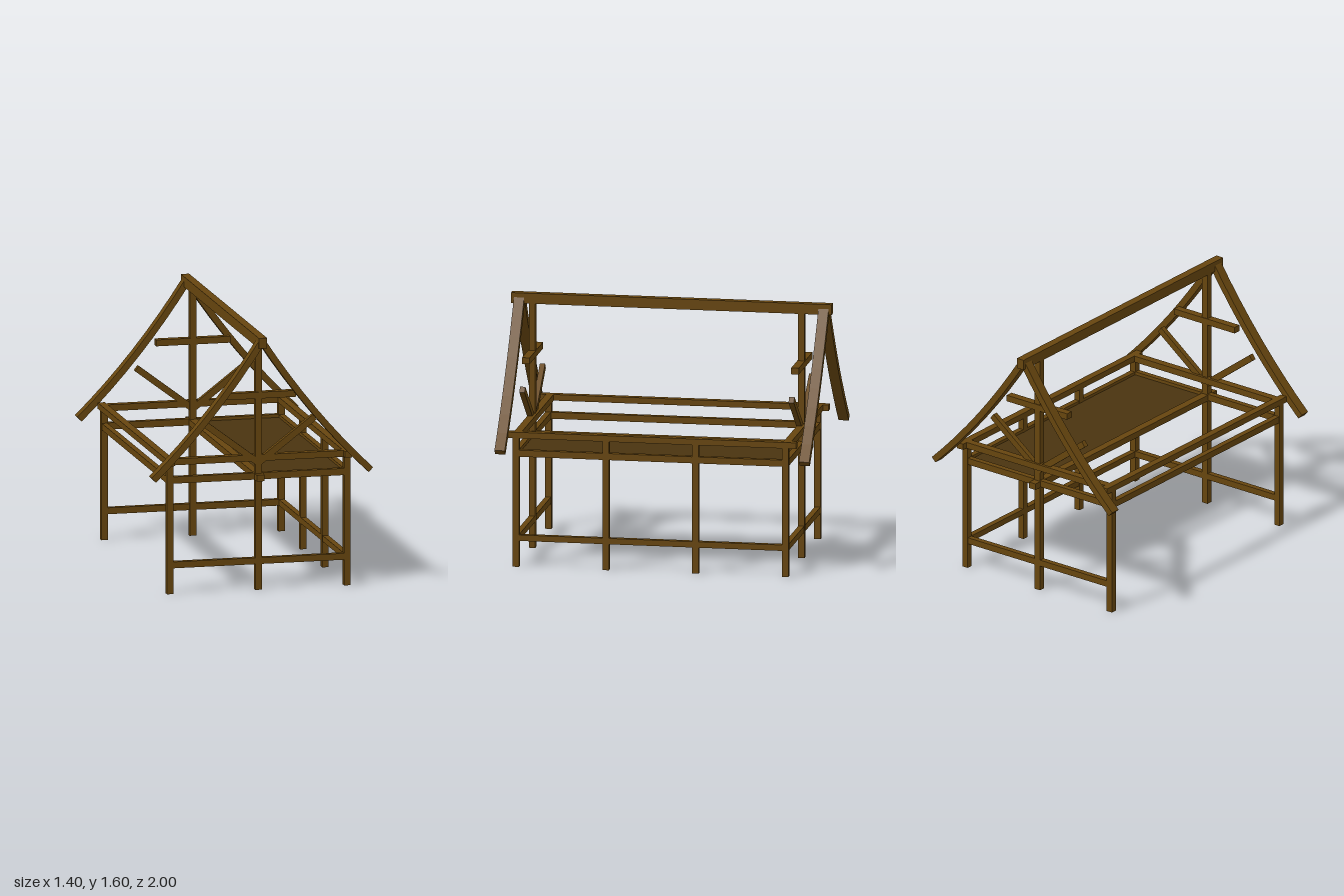
import * as THREE from 'three';

export function createModel() {
  const model = new THREE.Group();
  model.name = 'timberFrame';

  const timber = new THREE.MeshStandardMaterial({ color: 0x66450e });
  timber.name = 'timber brown';
  const boards = new THREE.MeshStandardMaterial({ color: 0x4a3410 });
  boards.name = 'dark floor brown';

  const FRONT = 0.87, BACK = -0.81, SIDE = 0.56;

  // Box given by its lower and upper bounds
  function beam(name, [x0, x1], [y0, y1], [z0, z1], material = timber) {
    const mesh = new THREE.Mesh(new THREE.BoxGeometry(x1 - x0, y1 - y0, z1 - z0), material);
    mesh.position.set((x0 + x1) / 2, (y0 + y1) / 2, (z0 + z1) / 2);
    mesh.name = name;
    model.add(mesh);
    return mesh;
  }
  const around = (c, width) => [c - width / 2, c + width / 2];

  // Posts: the open side has only its corner posts
  for (const z of [FRONT, BACK]) {
    beam('cornerPost', around(-SIDE, 0.04), [0, 0.81], around(z, 0.04));
    beam('kingPost', around(0, 0.042), [0, 1.54], around(z, 0.04));
  }
  for (const z of [FRONT, 0.31, -0.25, BACK]) {
    beam('sidePost', around(SIDE, 0.04), [0, 0.81], around(z, 0.04));
  }

  // Long beams
  beam('ridgeBeam', around(0, 0.052), [1.535, 1.6], [-1, 1]);
  beam('centreFloorBeam', around(0, 0.05), [0.69, 0.73], [-0.88, 0.94]);
  beam('lowSideRail', around(SIDE, 0.036), [0.163, 0.2], [BACK, FRONT]);
  for (const s of [-1, 1]) {
    beam('wallPlate', around(s * SIDE, 0.046), [0.808, 0.846], [-0.88, 0.92]);
    beam('sideFloorRail', around(s * SIDE, 0.036), [0.692, 0.733], [BACK, FRONT]);
  }

  // Floor over one half
  beam('floorPanel', [0.02, 0.545], [0.705, 0.715], [-0.79, 0.85], boards);

  // Gable frames
  for (const z of [FRONT - 0.01, BACK - 0.01]) {
    beam('gableTie', [-SIDE, SIDE], [0.806, 0.846], around(z, 0.048));
  }
  for (const z of [FRONT, BACK]) {
    beam('gableFloorRail', [-SIDE, SIDE], [0.692, 0.734], around(z, 0.036));
    beam('lowGableRail', [-SIDE, SIDE], [0.161, 0.201], around(z, 0.036));
    beam('collarTie', [-0.235, 0.235], [1.2, 1.24], around(z, 0.048));
    for (const s of [-1, 1]) {
      const dx = 0.355, dy = 0.27;
      const brace = new THREE.Mesh(new THREE.BoxGeometry(Math.hypot(dx, dy), 0.04, 0.033), timber);
      brace.position.set(s * dx / 2, 0.795 + dy / 2, z);
      brace.rotation.z = s * Math.atan2(dy, dx);
      brace.name = 'brace';
      model.add(brace);
    }
  }

  // Curved rafters: offset a curve to both sides and extrude it
  for (const s of [-1, 1]) {
    const curve = new THREE.QuadraticBezierCurve(
      new THREE.Vector2(0, 1.575), new THREE.Vector2(s * 0.309, 1.10), new THREE.Vector2(s * 0.687, 0.738));
    const upper = [], lower = [];
    for (let i = 0; i <= 8; i++) {
      const p = curve.getPoint(i / 8), t = curve.getTangent(i / 8);
      const n = new THREE.Vector2(-t.y, t.x).multiplyScalar(0.02);
      upper.push(p.clone().add(n));
      lower.unshift(p.clone().sub(n));
    }
    const shape = new THREE.Shape([...upper, ...lower]);
    for (const z of [0.918, -0.982]) {
      const geometry = new THREE.ExtrudeGeometry(shape, { depth: 0.064, bevelEnabled: false });
      const rafter = new THREE.Mesh(geometry, timber);
      rafter.position.z = z;
      rafter.name = 'curvedRafter';
      model.add(rafter);
    }
  }

  return model;
}
